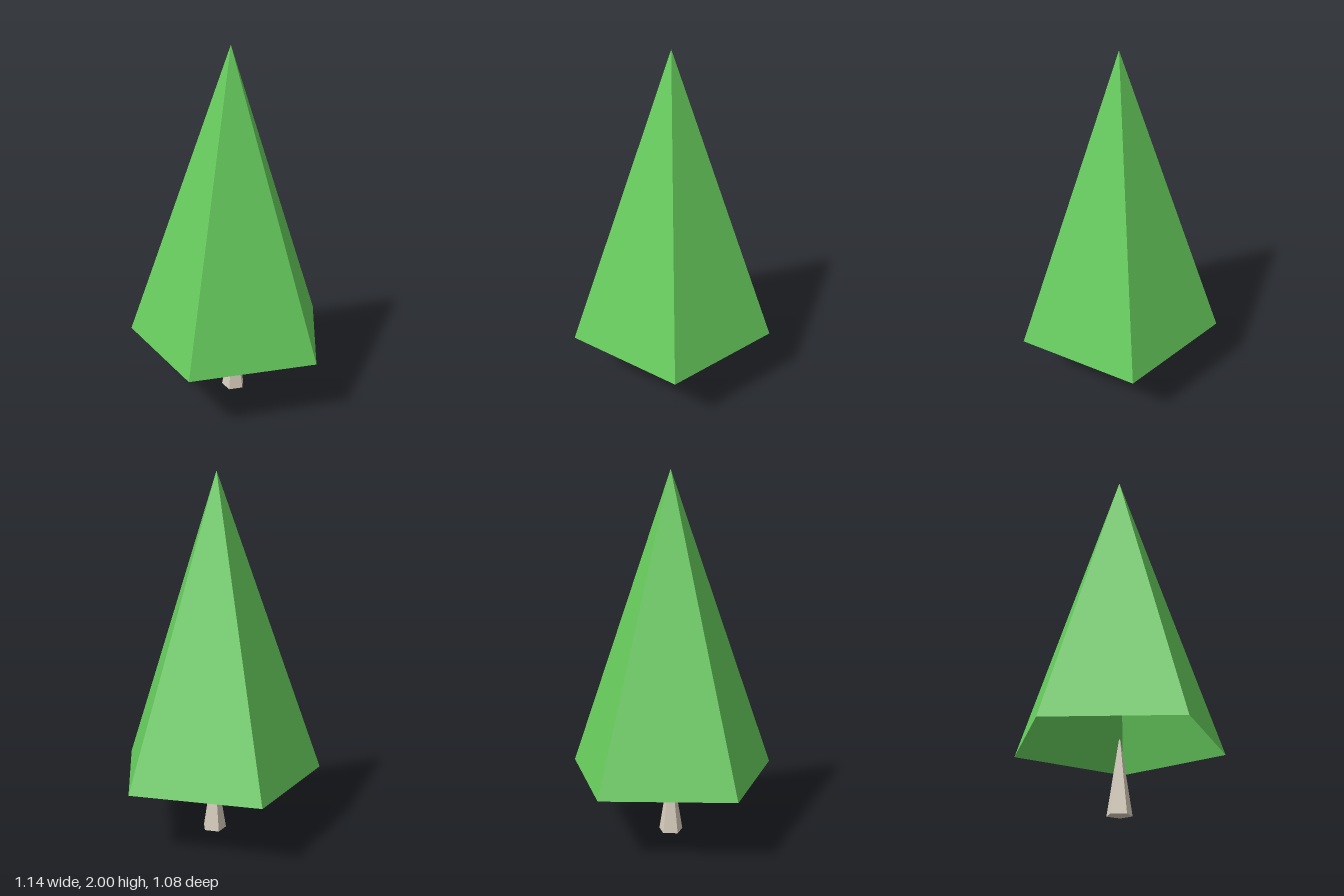
import * as THREE from 'three';

const SIDES = 5;

export function createModel() {
  const leafGreen = new THREE.MeshStandardMaterial({ color: 0x66cc5d, flatShading: true, side: THREE.DoubleSide });
  leafGreen.name = 'leafGreen';
  const barkBeige = new THREE.MeshStandardMaterial({ color: 0xd8cebe, flatShading: true });
  barkBeige.name = 'barkBeige';

  const tree = new THREE.Group();
  tree.name = 'tree';

  // Five-sided part standing on yBase, with one corner facing the front
  const addTaper = (name, material, rTop, rBottom, yBase, yTop, z, open) => {
    const height = yTop - yBase;
    const geometry = new THREE.CylinderGeometry(rTop, rBottom, height, SIDES, 1, open);
    const mesh = new THREE.Mesh(geometry, material);
    mesh.name = name;
    mesh.position.set(0, yBase + height / 2, z);
    tree.add(mesh);
  };

  // Hollow foliage cone, open underneath
  addTaper('foliage', leafGreen, 0, 0.597, 0.355, 2, -0.058, true);
  // Trunk tapering to a narrow tip inside the foliage
  addTaper('trunk', barkBeige, 0.004, 0.069, 0, 0.39, -0.048, false);

  return tree;
}
